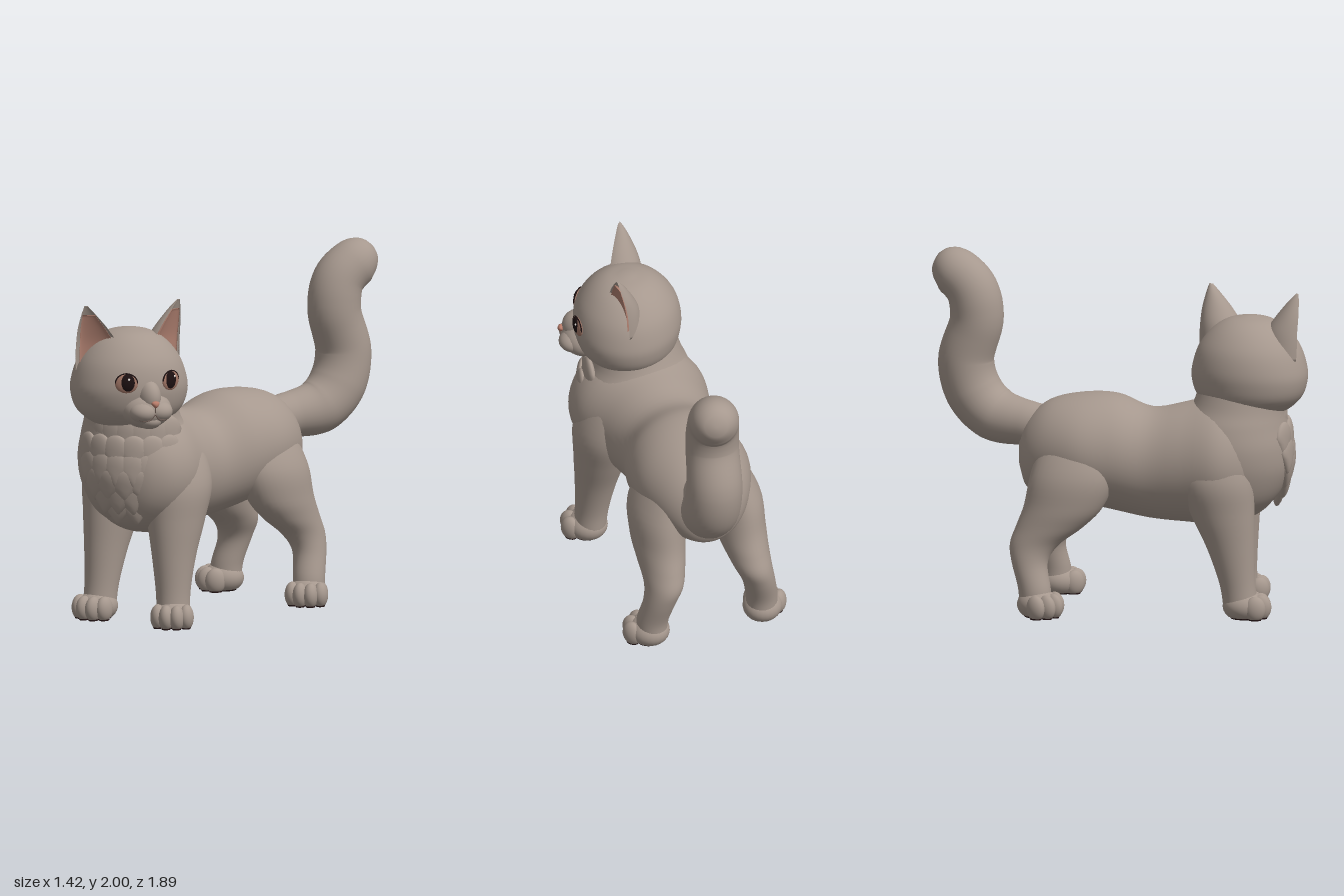
import * as THREE from 'three';
import { mergeVertices } from 'three/addons/utils/BufferGeometryUtils.js';

const mat = (name, color) => {
  const m = new THREE.MeshStandardMaterial({ color });
  m.name = name;
  return m;
};

// Smooth loft up the y axis. Rows: [y, centreX, centreZ, radiusX, radiusZ].
// front scales the +z half of each ring (negative makes a hollow).
function loft(rows, front = 1, seg = 36, steps = 5) {
  const centre = new THREE.CatmullRomCurve3(rows.map(r => new THREE.Vector3(r[1], r[0], r[2])), false, 'catmullrom');
  const radius = new THREE.CatmullRomCurve3(rows.map(r => new THREE.Vector3(r[3], 0, r[4])), false, 'catmullrom');
  const n = (rows.length - 1) * steps;
  const pos = [], idx = [];
  for (let i = -1; i <= n + 1; i++) {
    const t = Math.min(Math.max(i / n, 0), 1);
    const c = centre.getPoint(t), r = radius.getPoint(t);
    const k = i < 0 || i > n ? 0 : 1; // closed ends
    for (let j = 0; j < seg; j++) {
      const a = (j / seg) * Math.PI * 2, s = Math.sin(a);
      pos.push(c.x + Math.cos(a) * r.x * k, c.y, c.z + s * (s > 0 ? front : 1) * r.z * k);
    }
  }
  for (let i = 0; i < n + 2; i++) for (let j = 0; j < seg; j++) {
    const a = i * seg + j, c = i * seg + (j + 1) % seg, b = a + seg, d = c + seg;
    idx.push(a, b, c, b, d, c);
  }
  const g = new THREE.BufferGeometry();
  g.setAttribute('position', new THREE.Float32BufferAttribute(pos, 3));
  g.setIndex(idx);
  g.computeVertexNormals();
  return g;
}

// Moves every vertex of a geometry by a rule and smooths the result.
function warp(geo, rule) {
  geo.deleteAttribute('uv');
  geo.deleteAttribute('normal');
  const g = mergeVertices(geo), p = g.attributes.position, v = new THREE.Vector3();
  for (let i = 0; i < p.count; i++) {
    rule(v.fromBufferAttribute(p, i));
    p.setXYZ(i, v.x, v.y, v.z);
  }
  g.computeVertexNormals();
  return g;
}

export function createModel() {
  const fur = mat('taupe fur', 0xa6988e);
  const pink = mat('ear pink', 0xb28272);
  const nosePink = mat('nose pink', 0xb87c6a);
  const dark = mat('dark pads', 0x2a1819);
  const iris = mat('iris brown', 0xa17666);
  const pupil = mat('pupil', 0x1d1112);
  const glint = mat('eye glint', 0xf0e8e2);
  const line = mat('mouth line', 0x75625a);

  const cat = new THREE.Group();
  cat.name = 'cat';
  const add = (parent, name, geo, m, p = [0, 0, 0], s = [1, 1, 1]) => {
    const mesh = new THREE.Mesh(geo, m);
    mesh.name = name;
    mesh.position.set(...p);
    mesh.scale.set(...s);
    parent.add(mesh);
    return mesh;
  };
  const group = (parent, name, p, yaw) => {
    const g = new THREE.Group();
    g.name = name;
    g.position.set(...p);
    g.rotation.y = yaw;
    parent.add(g);
    return g;
  };
  const ball = new THREE.SphereGeometry(1, 28, 20);

  // Torso, from rump to chest
  const body = group(cat, 'body', [-0.12, 0, 0.105], -0.506);
  const torso = loft([
    [-0.75, 0, -0.87, 0.05, 0.08], [-0.7, 0, -0.87, 0.18, 0.2], [-0.58, 0, -0.9, 0.275, 0.275],
    [-0.4, 0, -0.91, 0.335, 0.31], [-0.2, 0, -0.89, 0.325, 0.33], [0, -0.02, -0.84, 0.295, 0.315],
    [0.2, -0.02, -0.85, 0.33, 0.34], [0.4, 0, -0.87, 0.385, 0.37], [0.55, 0.03, -0.87, 0.35, 0.34],
    [0.66, 0.06, -0.87, 0.25, 0.27], [0.73, 0.08, -0.87, 0.12, 0.14]], 1, 48);
  add(body, 'torso', torso.rotateX(Math.PI / 2), fur);
  add(cat, 'rump', ball, fur, [0.13, 0.98, -0.33], [0.21, 0.19, 0.2]);

  // Chest and neck
  add(cat, 'chest', loft([
    [0.53, -0.34, 0.48, 0.1, 0.1], [0.64, -0.34, 0.5, 0.24, 0.24], [0.8, -0.34, 0.51, 0.315, 0.32],
    [0.95, -0.34, 0.51, 0.335, 0.33], [1.08, -0.35, 0.515, 0.305, 0.3], [1.18, -0.36, 0.54, 0.27, 0.265],
    [1.32, -0.36, 0.58, 0.25, 0.25]], 1, 48), fur);

  // Ruff: rows of pointed tufts down the chest
  const tuftGeo = warp(new THREE.SphereGeometry(1, 16, 14), v => {
    if (v.y < 0) {
      v.x *= 1 + 0.75 * v.y;
      v.z -= v.y * 0.3;
    }
  });
  const ruff = group(cat, 'ruff', [-0.34, 0, 0.51], 0.03);
  [[1.1, 0.275, 0.95, 7], [1.0, 0.31, 0.85, 6], [0.91, 0.32, 0.74, 6], [0.82, 0.312, 0.6, 5],
    [0.75, 0.292, 0.42, 4], [0.69, 0.262, 0.2, 2]].forEach(([y, r, spread, count]) => {
    for (let i = 0; i < count; i++) {
      const a = spread * (2 * i / (count - 1) - 1);
      const t = add(ruff, 'tuft', tuftGeo, fur, [Math.sin(a) * r, y, Math.cos(a) * r], [0.088, 0.105, 0.032]);
      t.rotation.set(y < 0.85 ? 0.25 : 0.02, a, a * 0.3, 'YXZ');
    }
  });

  // Paws with four toes and dark soles
  const flat = (c, s) => warp(new THREE.SphereGeometry(1, 24, 18), v => {
    v.set(c[0] + v.x * s[0], Math.max(c[1] + v.y * s[1], 0.006), c[2] + v.z * s[2]);
  });
  const sole = new THREE.CylinderGeometry(1, 0.92, 0.008, 24);
  const toes = [[-0.08, 0.06], [-0.03, 0.095], [0.03, 0.095], [0.08, 0.06]];
  const pawGeo = flat([0, 0.07, 0], [0.112, 0.09, 0.118]);
  const toeGeos = toes.map(([x, z]) => flat([x, 0.064, z], [0.043, 0.072, 0.06]));
  const paw = (name, x, z, yaw) => {
    const g = group(body, name, [x, 0, z], yaw);
    add(g, 'paw', pawGeo, fur);
    add(g, 'sole', sole, dark, [0, 0.004, 0.005], [0.082, 1, 0.085]);
    toes.forEach(([x, z], i) => {
      add(g, 'toe', toeGeos[i], fur);
      add(g, 'toePad', sole, dark, [x, 0.004, z], [0.027, 1, 0.038]);
    });
  };

  // Legs: [height, sideways, along, radius across, radius along]
  const front = [[0.06, 0.245, 0.5, 0.092, 0.098], [0.2, 0.24, 0.485, 0.095, 0.102], [0.4, 0.235, 0.455, 0.116, 0.135],
    [0.6, 0.23, 0.415, 0.146, 0.182], [0.8, 0.225, 0.38, 0.165, 0.22], [1.0, 0.17, 0.36, 0.14, 0.2],
    [1.12, 0.12, 0.35, 0.05, 0.08]];
  const hind = [[0.06, 0.33, -0.585, 0.088, 0.092], [0.16, 0.325, -0.595, 0.09, 0.092], [0.3, 0.295, -0.63, 0.092, 0.102],
    [0.4, 0.265, -0.61, 0.108, 0.14], [0.5, 0.25, -0.53, 0.128, 0.19], [0.62, 0.24, -0.455, 0.146, 0.225],
    [0.8, 0.222, -0.41, 0.152, 0.24], [1.0, 0.15, -0.4, 0.12, 0.19], [1.12, 0.08, -0.4, 0.05, 0.08]];
  const leg = (name, rows, side, dx, dz, yaw) => {
    const place = rows.map(([y, x, z, a, b]) => {
      const k = Math.max(0, 1 - y); // stance offset fades towards the hip
      return [y, side * x + dx * k, z + dz * k, a, b];
    });
    add(body, name, loft(place), fur);
    paw(name + 'Paw', place[0][1] + Math.sin(yaw) * 0.015, place[0][2] + Math.cos(yaw) * 0.015, yaw);
  };
  leg('leftFrontLeg', front, 1, 0.045, -0.04, 0.65);
  leg('rightFrontLeg', front, -1, 0.03, 0.04, 0.2);
  leg('leftHindLeg', hind, 1, 0, -0.01, 0.6);
  leg('rightHindLeg', hind, -1, 0, -0.03, -0.6);

  // Tail: tube with varying thickness and a rounded tip
  const path = new THREE.CatmullRomCurve3([[0.06, 0.98, -0.25], [0.26, 1.025, -0.49], [0.42, 1.065, -0.64],
    [0.5, 1.18, -0.73], [0.525, 1.36, -0.77], [0.485, 1.61, -0.72], [0.505, 1.77, -0.745], [0.585, 1.865, -0.82],
    [0.67, 1.91, -0.905]].map(p => new THREE.Vector3(...p)));
  const thick = [0.12, 0.12, 0.13, 0.155, 0.162, 0.158, 0.152, 0.15, 0.142, 0.135];
  const n = 80, sides = 32;
  const tail = new THREE.TubeGeometry(path, n, 1, sides);
  const tp = tail.attributes.position, v = new THREE.Vector3();
  for (let i = 0; i <= n; i++) {
    const t = i / n, c = path.getPointAt(t);
    const f = t * (thick.length - 1), k = Math.min(Math.floor(f), thick.length - 2);
    const cap = Math.max(0, (t - 0.9) / 0.1);
    const r = THREE.MathUtils.lerp(thick[k], thick[k + 1], f - k) * Math.sqrt(Math.max(0, 1 - cap * cap));
    for (let j = 0; j <= sides; j++) {
      const q = i * (sides + 1) + j;
      v.fromBufferAttribute(tp, q).sub(c).multiplyScalar(r).add(c);
      tp.setXYZ(q, v.x, v.y, v.z);
    }
  }
  add(cat, 'tail', warp(tail, () => {}), fur);
  add(cat, 'underTail', ball, dark, [0.265, 0.922, -0.485], [0.085, 0.03, 0.04]).rotation.y = -0.785;

  // Head
  const head = group(cat, 'head', [-0.365, 1.4, 0.6], 0.67);
  add(head, 'skull', loft([
    [-0.275, 0, 0.02, 0.08, 0.08], [-0.25, 0, 0.01, 0.2, 0.18], [-0.17, 0, 0, 0.3, 0.27],
    [-0.07, 0, 0, 0.335, 0.302], [0.02, 0, 0, 0.325, 0.303], [0.12, 0, 0, 0.287, 0.275],
    [0.21, 0, 0, 0.215, 0.21], [0.265, 0, 0, 0.13, 0.13], [0.288, 0, 0, 0.03, 0.03]], 1, 48), fur);

  // Muzzle, nose and mouth
  add(head, 'muzzle', ball, fur, [0, -0.145, 0.24], [0.145, 0.105, 0.13]);
  add(head, 'bridge', ball, fur, [0, -0.07, 0.265], [0.068, 0.1, 0.1]);
  add(head, 'chin', ball, fur, [0, -0.2, 0.28], [0.07, 0.05, 0.08]);
  add(head, 'nose', warp(new THREE.SphereGeometry(1, 20, 14), p => { p.x *= 0.65 + 0.35 * p.y; }),
    nosePink, [0, -0.098, 0.372], [0.032, 0.02, 0.018]);
  add(head, 'philtrum', new THREE.CapsuleGeometry(0.003, 0.03, 4, 8), line, [0, -0.13, 0.374]);
  for (const s of [-1, 1]) {
    add(head, 'whiskerPad', ball, fur, [s * 0.048, -0.148, 0.303], [0.08, 0.06, 0.08]);
    const smile = new THREE.CatmullRomCurve3([[0, -0.155, 0.369], [s * 0.03, -0.186, 0.363], [s * 0.07, -0.19, 0.354],
      [s * 0.11, -0.168, 0.338]].map(p => new THREE.Vector3(...p)));
    add(head, 'mouth', new THREE.TubeGeometry(smile, 16, 0.004, 6), line);

    // Eye
    const eye = group(head, 'eye', [s * 0.135, 0.015, 0.273], s * 0.4);
    add(eye, 'iris', ball, iris, [0, 0, 0], [0.064, 0.056, 0.018]);
    add(eye, 'pupil', ball, pupil, [s * -0.006, 0.004, 0.004], [0.045, 0.051, 0.019]);
    add(eye, 'glint', ball, glint, [0.014, 0.026, 0.02], [0.007, 0.007, 0.004]);
    add(eye, 'lashLine', new THREE.TorusGeometry(0.062, 0.004, 8, 24, Math.PI), pupil, [0, 0.002, 0.003], [1, 0.9, 1]);

    // Ear: hollow shell with a pink lining, opening forward and outward
    const rows = [[0.06, 0, 0.045, 0.13, 0.13], [0.14, 0, 0.05, 0.13, 0.125], [0.22, 0.01, 0.055, 0.115, 0.11],
      [0.3, 0.03, 0.068, 0.085, 0.08], [0.38, 0.052, 0.084, 0.042, 0.045], [0.432, 0.066, 0.093, 0.01, 0.012]]
      .map(([y, x, z, a, b]) => [y, s * x, z, a, b]);
    const ear = group(head, 'ear', [s * 0.182, 0, 0], s * 0.5);
    add(ear, 'earShell', loft(rows, -0.25), fur);
    add(ear, 'earLining', loft(rows.slice(0, 5).map(([y, x, z, a, b]) => [y, x, z, a * 0.82, b * 0.82]), -0.22), pink);
  }
  return cat;
}
